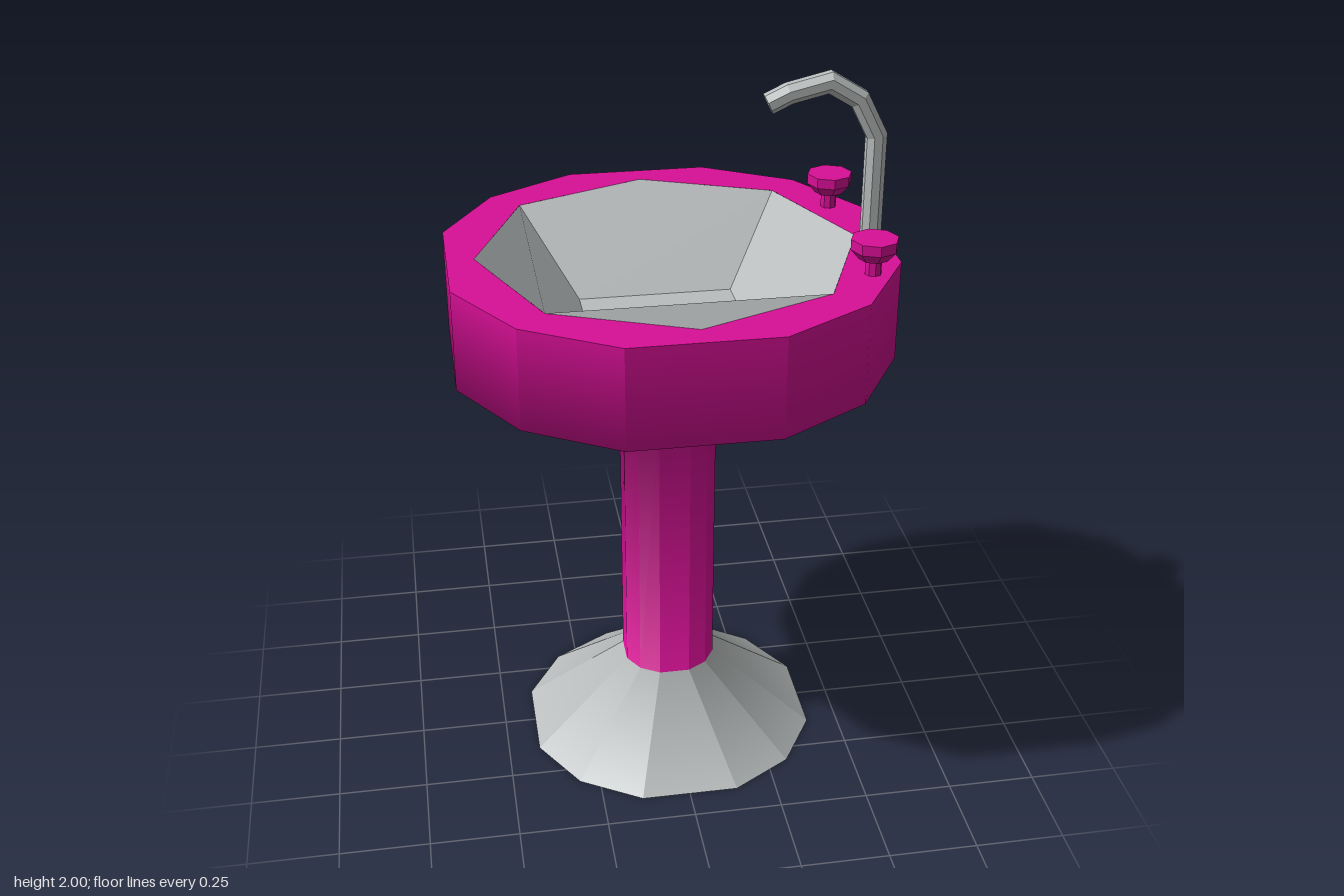
import * as THREE from 'three';

const pink = new THREE.MeshStandardMaterial({ color: 0xd80f96 });
const grey = new THREE.MeshStandardMaterial({ color: 0xb9bdbd });
pink.name = 'pink enamel';
grey.name = 'grey metal';

const V = (x, y, z) => new THREE.Vector3(x, y, z);

function add(parent, name, geometry, material) {
  const mesh = new THREE.Mesh(geometry, material);
  mesh.name = name;
  parent.add(mesh);
  return mesh;
}

function flat(geometry) {
  const g = geometry.index ? geometry.toNonIndexed() : geometry;
  g.computeVertexNormals();
  return g;
}

function fromPoints(points, normals) {
  const g = new THREE.BufferGeometry().setFromPoints(points);
  if (normals) g.setAttribute('normal', new THREE.Float32BufferAttribute(normals.flatMap((n) => n.toArray()), 3));
  else g.computeVertexNormals();
  return g;
}

const faceNormal = (a, b, c) => b.clone().sub(a).cross(c.clone().sub(a));

// Twelve-sided outline, flat towards x and z, going from +z to +x
function outline(half) {
  const a = 0.336, c = 0.75;
  const quarter = [[-a, 1], [a, 1], [c, c]];
  const pts = [];
  for (let q = 0; q < 4; q++) {
    const s = Math.round(Math.sin(q * Math.PI / 2)), k = Math.round(Math.cos(q * Math.PI / 2));
    for (const [x, z] of quarter) pts.push([(x * k + z * s) * half, (z * k - x * s) * half]);
  }
  return pts;
}

// Rings joined by quads: facets stay crisp around, and blend from band to band
function bodyBands(profile) {
  const rings = profile.map(([half, y]) => outline(half).map(([x, z]) => V(x, y, z)));
  const n = rings[0].length;
  const normal = (i, j) => faceNormal(rings[i][j], rings[i][(j + 1) % n], rings[i + 1][j]).normalize();
  const last = rings.length - 2;
  const blend = (i, j) => {
    const sum = V(0, 0, 0);
    if (i > 0) sum.add(normal(i - 1, j));
    if (i <= last) sum.add(normal(i, j));
    return sum.normalize();
  };
  return rings.slice(0, -1).map((ring, i) => {
    const p = [], m = [];
    for (let j = 0; j < n; j++) {
      const k = (j + 1) % n, low = blend(i, j), high = blend(i + 1, j);
      p.push(ring[j], ring[k], rings[i + 1][k], ring[j], rings[i + 1][k], rings[i + 1][j]);
      m.push(low, low, high, low, high, high);
    }
    return fromPoints(p, m);
  });
}

// Faceted pipe along a path in the xy plane, mitred at each bend
function pipe(path, radius, sides) {
  const rings = path.map(([x, y], i) => {
    const dir = (a, b) => new THREE.Vector2(b[0] - a[0], b[1] - a[1]).normalize();
    const before = dir(path[Math.max(i - 1, 0)], path[Math.max(i, 1)]);
    const after = dir(path[Math.min(i, path.length - 2)], path[Math.min(i + 1, path.length - 1)]);
    const t = before.clone().add(after).normalize();
    const r = radius / t.dot(before);
    return Array.from({ length: sides }, (_, j) => {
      const a = (j + 0.5) / sides * Math.PI * 2;
      return V(x + t.y * r * Math.sin(a), y - t.x * r * Math.sin(a), radius * Math.cos(a));
    });
  });
  const p = [];
  for (let i = 0; i < rings.length - 1; i++) {
    for (let j = 0; j < sides; j++) {
      const k = (j + 1) % sides, A = rings[i], B = rings[i + 1];
      p.push(A[j], A[k], B[k], A[j], B[k], B[j]);
    }
  }
  const end = rings[rings.length - 1];
  for (let j = 1; j < sides - 1; j++) p.push(end[0], end[j], end[j + 1]);
  return fromPoints(p);
}

export function createModel() {
  const model = new THREE.Group();
  model.name = 'pedestal sink';

  // Foot, column, underside and rim share one stacked outline
  const bands = bodyBands([[0.41, 0], [0.13, 0.23], [0.13, 1.105], [0.588, 1.255], [0.588, 1.535]]);
  ['foot', 'column', 'basinUnderside', 'rimSide'].forEach((name, i) => {
    add(model, name, bands[i], i % 2 ? pink : grey);
  });

  // Bottom of the foot
  const sole = new THREE.Shape(outline(0.41).map(([x, z]) => new THREE.Vector2(x, z)));
  add(model, 'footSole', new THREE.ShapeGeometry(sole), grey).rotation.x = Math.PI / 2;

  // Rim top with an octagonal opening
  const top = new THREE.Shape(outline(0.588).map(([x, z]) => new THREE.Vector2(x, z)));
  const opening = Array.from({ length: 8 }, (_, i) => {
    const a = i * Math.PI / 4;
    return new THREE.Vector2(0.515 * Math.cos(a), 0.515 * Math.sin(a));
  });
  top.holes.push(new THREE.Path(opening));
  const rimTop = add(model, 'rimTop', new THREE.ShapeGeometry(top), pink);
  rimTop.rotation.x = -Math.PI / 2;
  rimTop.position.y = 1.535;

  // Basin: square floor and four five-cornered walls, each shaded as one face
  const floorY = 1.3, topY = 1.535, f = 0.217, c = 0.364;
  const basin = new THREE.Group();
  basin.name = 'basin';
  model.add(basin);
  const floor = add(basin, 'basinFloor', new THREE.PlaneGeometry(2 * f, 2 * f), grey);
  floor.rotation.x = -Math.PI / 2;
  floor.position.y = floorY;
  const a = V(-f, floorY, -f), b = V(f, floorY, -f);
  const r = V(c, topY, -c), l = V(-c, topY, -c), m = V(0, topY, -0.515);
  const triangles = [[a, b, r], [a, r, l], [l, r, m]];
  const shade = V(0, 0, 0);
  triangles.forEach((t) => shade.add(faceNormal(...t)));
  shade.normalize();
  for (let i = 0; i < 4; i++) {
    const wall = fromPoints(triangles.flat(), Array(9).fill(shade));
    add(basin, 'basinWall', wall, grey).rotation.y = i * Math.PI / 2;
  }

  // Bent tap spout
  const spout = pipe([[0.553, 1.53], [0.553, 1.822], [0.502, 1.922], [0.422, 1.971],
    [0.315, 1.946], [0.26, 1.92]], 0.029, 8);
  add(model, 'tapSpout', spout, grey).position.z = 0.013;

  // Tap knobs
  const profile = [[0.022, 1.53], [0.022, 1.572], [0.04, 1.578], [0.063, 1.605], [0.063, 1.633], [0, 1.633]];
  for (const z of [-0.224, 0.256]) {
    const knob = new THREE.LatheGeometry(profile.map(([x, y]) => new THREE.Vector2(x, y)), 8);
    add(model, 'tapKnob', flat(knob), pink).position.set(0.495, 0, z);
  }
  return model;
}
